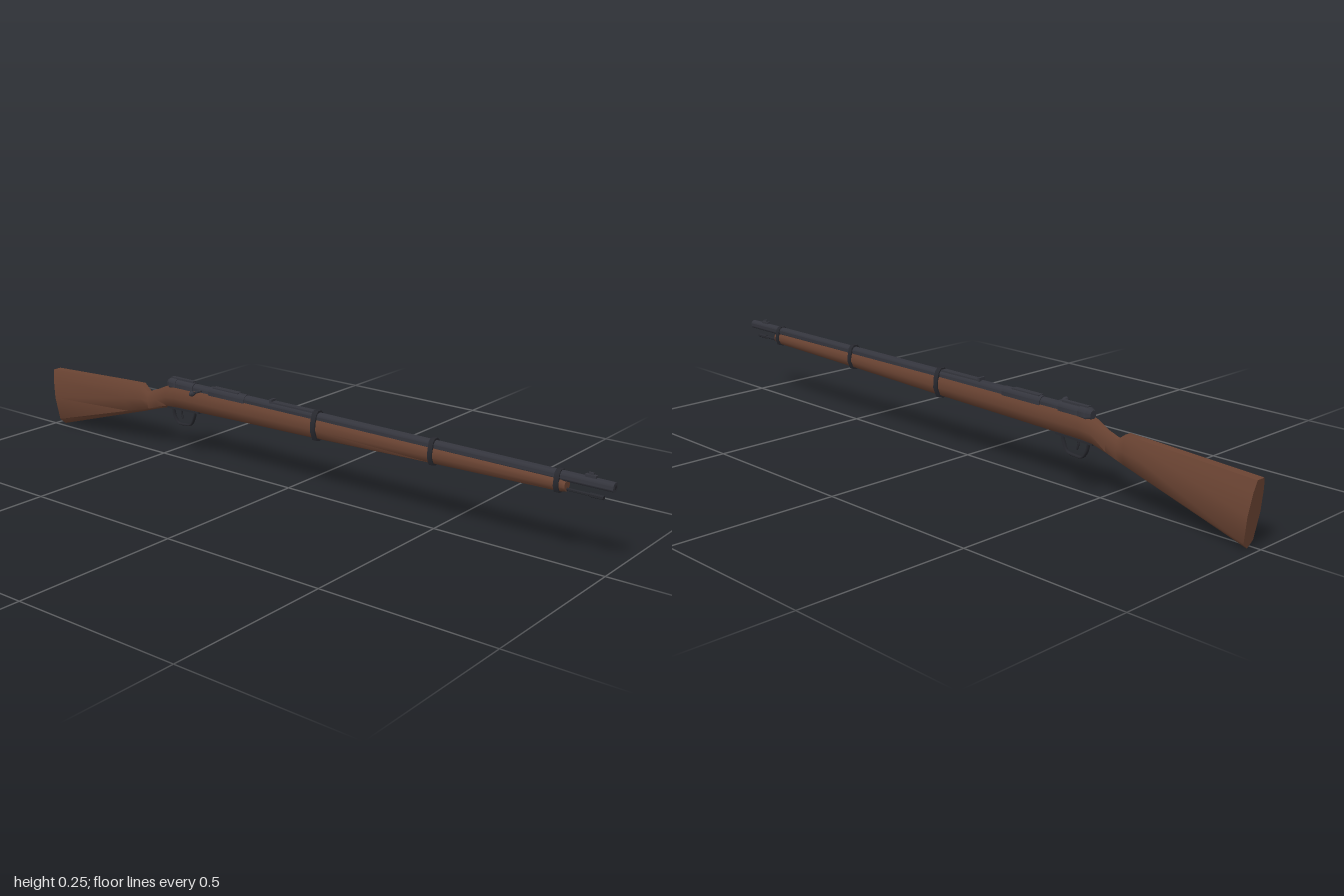
import * as THREE from 'three';
import { toCreasedNormals } from 'three/addons/utils/BufferGeometryUtils.js';

const CX = 0.0185; // centre line; the bolt handle reaches out to the other side
const BARREL_Y = 0.2295;

const wood = new THREE.MeshStandardMaterial({ color: 0x6b4433 });
wood.name = 'walnut wood';
const metal = new THREE.MeshStandardMaterial({ color: 0x34353d });
metal.name = 'blued steel';
const dark = new THREE.MeshStandardMaterial({ color: 0x27282e });
dark.name = 'dark steel';

// Counterclockwise cross-section: flat top, bulging sides, keeled belly
function section(top, bot, a, w, b, keel = 0.1) {
  const h = top - bot;
  const half = [[b, bot + h * keel], [w, bot + h * 0.5], [(a + w) / 2 + 0.001, bot + h * 0.84], [a, top]];
  return [[0, bot], ...half, ...half.map(([x, y]) => [-x, y]).reverse()];
}

// Skin stations ordered from front to back; slant leans a station forward at its foot
function loft(stations, crease) {
  const pos = [], idx = [], n = stations[0].ring.length;
  for (const { z, ring, slant = 0 } of stations) {
    const top = ring[4][1], h = top - ring[0][1];
    for (const [x, y] of ring) pos.push(x, y, z + slant * (top - y) / h);
  }
  const last = stations.length - 1;
  for (let s = 0; s < last; s++) {
    for (let i = 0; i < n; i++) {
      const a = s * n + i, b = s * n + (i + 1) % n;
      idx.push(a, a + n, b, b, a + n, b + n);
    }
  }
  for (let i = 1; i < n - 1; i++) {
    idx.push(0, i, i + 1, last * n, last * n + i + 1, last * n + i);
  }
  const g = new THREE.BufferGeometry();
  g.setAttribute('position', new THREE.Float32BufferAttribute(pos, 3));
  g.setIndex(idx);
  return toCreasedNormals(g, crease);
}

export function createModel() {
  const group = new THREE.Group();
  const add = (name, geo, mat, x = 0, y = 0, z = 0) => {
    const m = new THREE.Mesh(geo, mat);
    m.name = name;
    m.position.set(CX + x, y, z);
    group.add(m);
    return m;
  };
  // Rod along z from z0 (front) to z1 (back)
  const rod = (name, r0, r1, z0, z1, y, mat, sides = 10) => {
    const g = new THREE.CylinderGeometry(r0, r1, z0 - z1, sides).rotateX(Math.PI / 2);
    return add(name, toCreasedNormals(g, 0.75), mat, 0, y, (z0 + z1) / 2);
  };
  const box = (name, w, h, d, y, z, mat) => add(name, new THREE.BoxGeometry(w, h, d), mat, 0, y, z);

  // Stock: z, top, bottom, half widths of top, middle and belly, keel height, slant
  const stock = [
    [0.872, 0.216, 0.19, 0.010, 0.015, 0.008],
    [0.855, 0.222, 0.186, 0.014, 0.018, 0.010],
    [0.48, 0.224, 0.177, 0.015, 0.0195, 0.011],
    [0.09, 0.226, 0.166, 0.016, 0.021, 0.012],
    [-0.2, 0.226, 0.160, 0.017, 0.022, 0.012],
    [-0.45, 0.226, 0.154, 0.016, 0.022, 0.012],
    [-0.49, 0.219, 0.150, 0.012, 0.019, 0.011],
    [-0.535, 0.199, 0.137, 0.007, 0.012, 0.008],
    [-0.572, 0.186, 0.125, 0.007, 0.013, 0.009],
    [-0.6, 0.206, 0.116, 0.010, 0.020, 0.012],
    [-0.66, 0.203, 0.098, 0.012, 0.022, 0.014],
    [-1.0, 0.186, 0.003, 0.014, 0.0265, 0.0195, 0.1, 0.027],
  ].map(([z, top, bot, a, w, b, keel, slant]) => ({ z, slant, ring: section(top, bot, a, w, b, keel) }));
  add('stock', loft(stock, 0.8), wood);

  // Barrel and cleaning rod
  rod('barrel', 0.0135, 0.0165, 1.0, -0.19, BARREL_Y, metal);
  rod('muzzleBore', 0.006, 0.006, 1.0005, 0.99, BARREL_Y, dark, 8);
  rod('cleaningRod', 0.0042, 0.0042, 0.96, 0.84, 0.196, dark, 6);
  rod('cleaningRodTip', 0.006, 0.006, 0.972, 0.935, 0.196, dark, 6);

  // Bands wrapping stock and barrel: z, bottom, half width, top, length
  const bands = [[0.85, 0.183, 0.0205, 0.245, 0.014], [0.48, 0.173, 0.0225, 0.249, 0.014], [0.09, 0.161, 0.0245, 0.25, 0.016]];
  bands.forEach(([z, bot, w, top, len], i) => {
    const half = [[0.013, bot + 0.003], [w, bot + (0.224 - bot) * 0.5], [w - 0.002, 0.222], [0.016, top - 0.009], [0.007, top]];
    const pts = [[0, bot], ...half, ...half.map(([x, y]) => [-x, y]).reverse()];
    const shape = new THREE.Shape(pts.map(([x, y]) => new THREE.Vector2(x, y)));
    const g = new THREE.ExtrudeGeometry(shape, { depth: len, bevelEnabled: false });
    add('band' + (i + 1), toCreasedNormals(g, 0.8), dark, 0, 0, z - len / 2);
  });

  // Sights
  box('frontSightBase', 0.011, 0.008, 0.03, 0.244, 0.935, metal);
  box('frontSightBlade', 0.004, 0.008, 0.014, 0.25, 0.935, metal);
  box('rearSightBase', 0.02, 0.008, 0.15, 0.2425, 0.005, metal);
  box('rearSightLeaf', 0.022, 0.012, 0.008, 0.247, -0.074, metal);

  // Receiver and bolt
  rod('receiverRing', 0.0185, 0.0185, -0.17, -0.31, BARREL_Y, metal);
  box('receiverBridge', 0.018, 0.006, 0.1, 0.2455, -0.25, metal);
  rod('boltBody', 0.0155, 0.0155, -0.3, -0.4, BARREL_Y, metal);
  rod('receiverRear', 0.0185, 0.0185, -0.375, -0.455, BARREL_Y, metal);
  box('boltRib', 0.012, 0.007, 0.09, 0.248, -0.425, metal);
  rod('boltSleeve', 0.0195, 0.0195, -0.445, -0.472, BARREL_Y + 0.001, metal);
  rod('boltCap', 0.0195, 0.012, -0.472, -0.484, BARREL_Y + 0.001, metal);

  // Bolt handle with a tapered knob, along -x
  const handle = [[0, 0], [0.0045, 0.002], [0.0085, 0.009], [0.0075, 0.015], [0.004, 0.024], [0.004, 0.06], [0, 0.06]];
  const handleGeo = new THREE.LatheGeometry(handle.map(([r, y]) => new THREE.Vector2(r, y)), 8).rotateZ(-Math.PI / 2);
  add('boltHandle', toCreasedNormals(handleGeo, 0.8), metal, -0.0477 - CX, 0.232, -0.34);

  // Trigger guard and trigger
  const curve = (pts) => new THREE.CatmullRomCurve3(pts.map(([z, y]) => new THREE.Vector3(0, y, z)));
  const guard = curve([[-0.378, 0.160], [-0.384, 0.137], [-0.398, 0.112], [-0.425, 0.107], [-0.45, 0.108], [-0.465, 0.126], [-0.472, 0.155]]);
  add('triggerGuard', new THREE.TubeGeometry(guard, 24, 0.0036, 6).scale(2, 1, 1), dark);
  const trigger = curve([[-0.43, 0.16], [-0.436, 0.142], [-0.431, 0.124]]);
  add('trigger', new THREE.TubeGeometry(trigger, 8, 0.003, 6), dark);
  box('guardPlate', 0.016, 0.006, 0.13, 0.1545, -0.425, dark).rotation.x = -0.03;

  return group;
}
